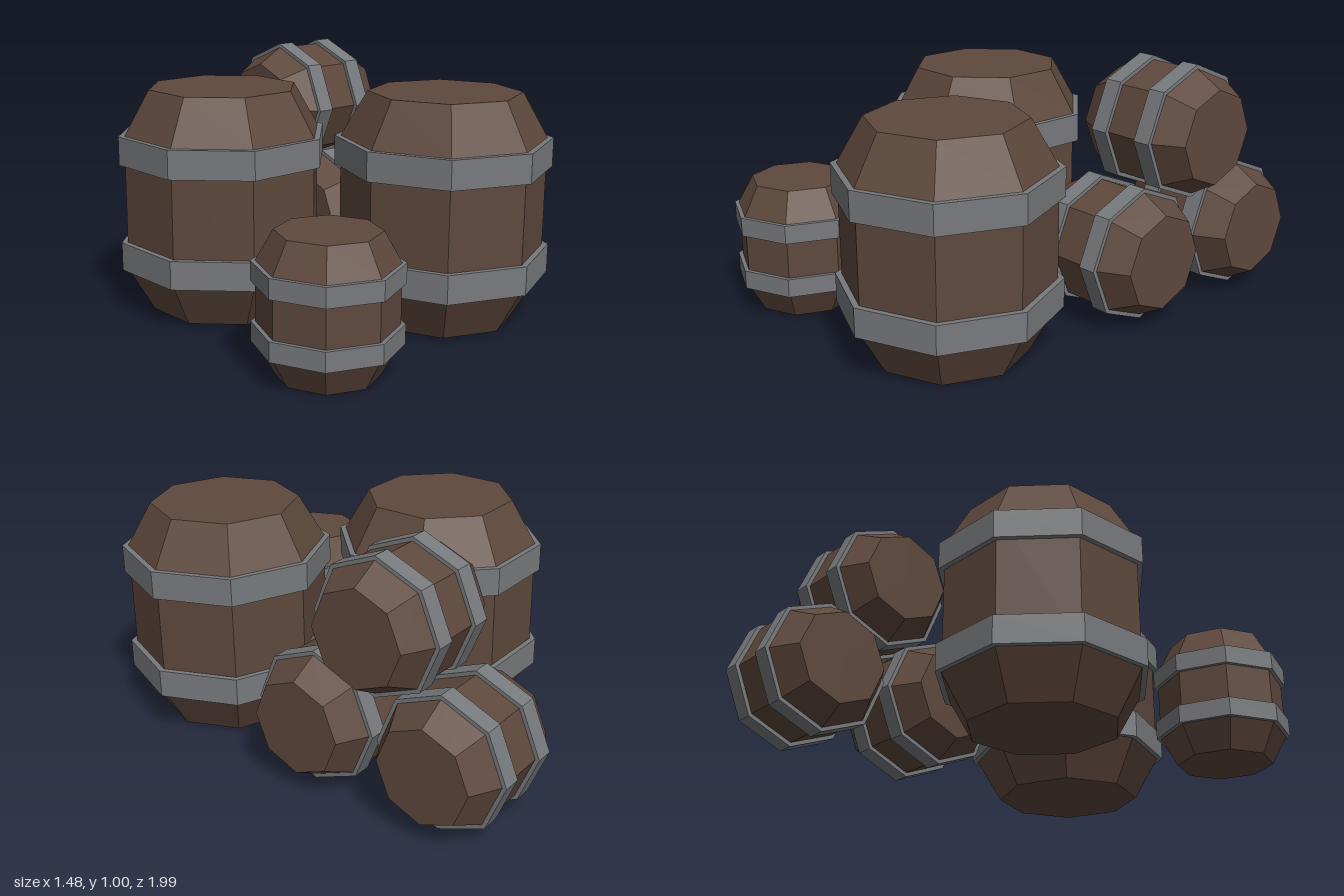
import * as THREE from 'three';

const SIDES = 8;

const wood = new THREE.MeshStandardMaterial({ color: 0x5e483c, flatShading: true });
const iron = new THREE.MeshStandardMaterial({ color: 0x777a7d, flatShading: true });

// Revolve [radius, height] pairs into an eight-sided mesh
function turned(name, profile, material) {
  const points = profile.map(([r, y]) => new THREE.Vector2(r, y));
  const mesh = new THREE.Mesh(new THREE.LatheGeometry(points, SIDES), material);
  mesh.name = name;
  return mesh;
}

// One barrel standing on its own origin
function barrel(name, { height, end, belly, hoop, hoopStart, hoopWidth }) {
  const group = new THREE.Group();
  group.name = name;

  // Staves and both lids
  group.add(turned('barrelBody', [
    [0, 0], [end, 0], [belly, hoopStart],
    [belly, height - hoopStart], [end, height], [0, height],
  ], wood));

  // Two iron hoops at the shoulders
  const starts = { lowerHoop: hoopStart, upperHoop: height - hoopStart - hoopWidth };
  for (const [hoopName, y] of Object.entries(starts)) {
    const top = y + hoopWidth;
    group.add(turned(hoopName, [
      [belly, y], [hoop, y], [hoop, top], [belly, top], [belly, y],
    ], iron));
  }
  return group;
}

const LARGE = { height: 0.91, end: 0.303, belly: 0.406, hoop: 0.43, hoopStart: 0.18, hoopWidth: 0.115 };
const SMALL = { height: 0.53, end: 0.193, belly: 0.257, hoop: 0.274, hoopStart: 0.115, hoopWidth: 0.075 };

export function createModel() {
  const model = new THREE.Group();
  model.name = 'barrelPile';

  // Upright barrels
  const back = barrel('largeBarrelBack', LARGE);
  back.position.set(-0.265, 0, -0.115);
  back.rotation.y = Math.PI / SIDES;

  const front = barrel('largeBarrelFront', LARGE);
  front.position.set(0.305, 0, 0.563);

  const small = barrel('smallBarrel', SMALL);
  small.position.set(-0.465, 0, 0.718);
  model.add(back, front, small);

  // Stack of three barrels lying along x
  const stack = [
    ['lyingBarrelFront', 0.28, -0.155],
    ['lyingBarrelBack', 0.28, -0.722],
    ['lyingBarrelTop', 0.727, -0.44],
  ];
  for (const [name, y, z] of stack) {
    const lying = barrel(name, SMALL);
    lying.rotation.z = -Math.PI / 2;
    lying.position.set(0.207, y, z);
    model.add(lying);
  }
  return model;
}
